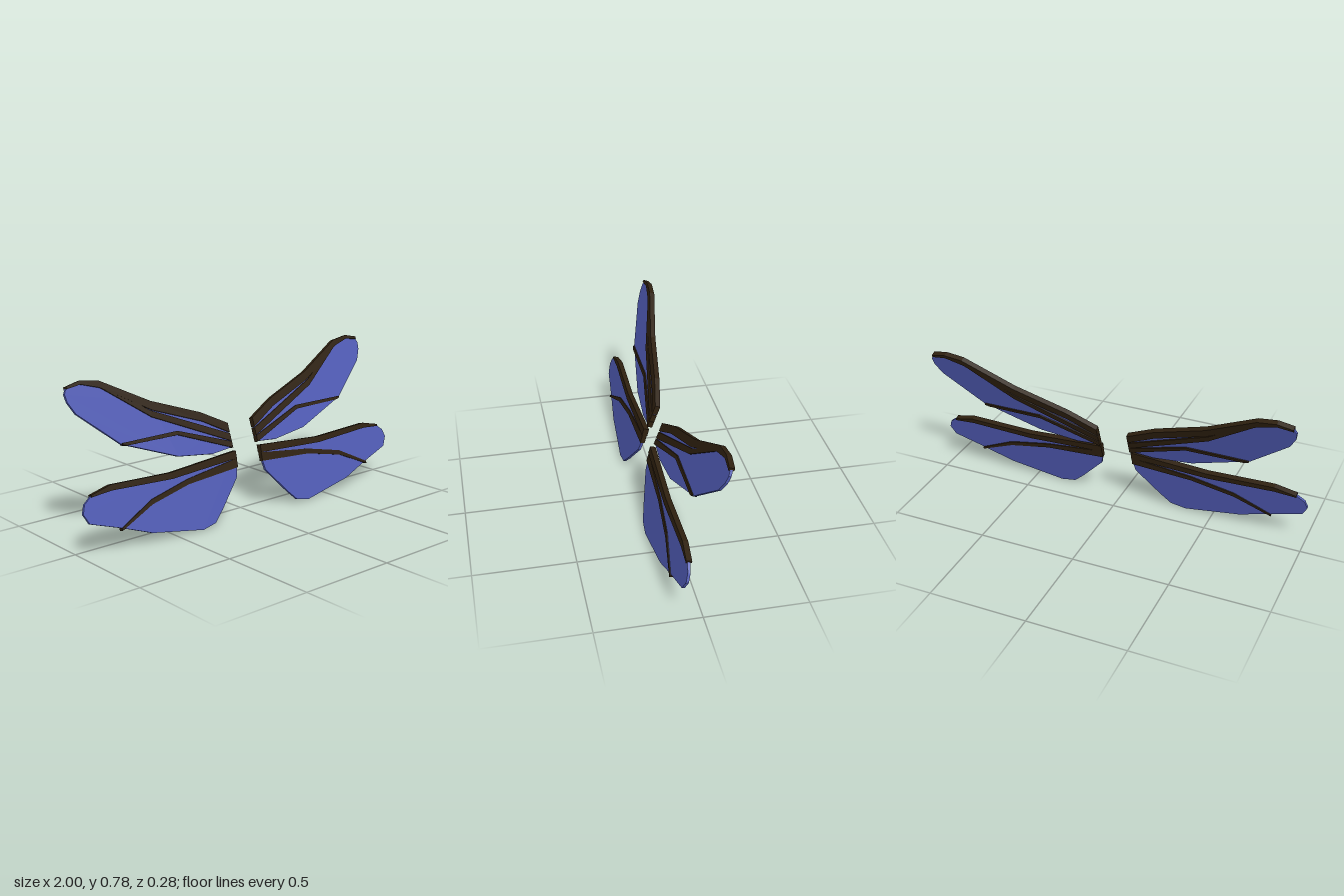
import * as THREE from 'three';

const membraneMat = new THREE.MeshStandardMaterial({ name: 'wing blue', color: 0x505bb5 });
const veinMat = new THREE.MeshStandardMaterial({ name: 'vein brown', color: 0x2e200f });

// Each wing is a flat sheet leaning back about a hinge line at height pivot.
// Outlines are [x, y]; veins are rows of [x, yTop, yBottom] from root to tip.
const WINGS = [
  {
    name: 'foreWing', tilt: 20, pivot: 0.42,
    outline: [[0.085, 0.455], [0.235, 0.53], [0.51, 0.625], [0.77, 0.757], [0.865, 0.768], [0.94, 0.752],
      [0.955, 0.725], [0.95, 0.69], [0.92, 0.635], [0.72, 0.47], [0.415, 0.36], [0.21, 0.335], [0.085, 0.345]],
    veins: [
      { name: 'leadingVein', depth: 0.027,
        rows: [[0.082, 0.46, 0.415], [0.235, 0.535, 0.493], [0.51, 0.63, 0.588], [0.77, 0.76, 0.728], [0.865, 0.773, 0.755], [0.942, 0.757, 0.745]] },
      { name: 'middleVein', depth: 0.026,
        rows: [[0.082, 0.41, 0.374], [0.52, 0.588, 0.558], [0.77, 0.748, 0.73]] },
      { name: 'trailingVein', depth: 0.026,
        rows: [[0.082, 0.372, 0.342], [0.395, 0.474, 0.455], [0.69, 0.473, 0.458], [0.715, 0.473, 0.465]] },
    ],
  },
  {
    name: 'hindWing', tilt: 15, pivot: 0.498,
    outline: [[0.085, 0.328], [0.49, 0.3], [0.835, 0.312], [0.94, 0.288], [0.985, 0.255], [1, 0.215], [0.975, 0.167],
      [0.8, 0.11], [0.65, 0.055], [0.355, 0.003], [0.275, 0.018], [0.22, 0.07], [0.095, 0.205], [0.085, 0.255]],
    veins: [
      { name: 'leadingVein', depth: 0.028,
        rows: [[0.082, 0.331, 0.293], [0.49, 0.303, 0.272], [0.835, 0.315, 0.288], [0.945, 0.29, 0.28]] },
      { name: 'trailingVein', depth: 0.023,
        rows: [[0.082, 0.293, 0.25], [0.4, 0.254, 0.229], [0.625, 0.205, 0.182], [0.815, 0.113, 0.101], [0.795, 0.104, 0.1]].slice(0, 4) },
    ],
  },
];

// Extrudes a flat outline to the given thickness, centred on its plane.
function plate(name, points, depth, material) {
  const shape = new THREE.Shape(points.map(([x, y]) => new THREE.Vector2(x, y)));
  const geometry = new THREE.ExtrudeGeometry(shape, { depth, bevelEnabled: false });
  geometry.translate(0, 0, -depth / 2);
  const mesh = new THREE.Mesh(geometry, material);
  mesh.name = name;
  return mesh;
}

function buildWing(spec, side) {
  const wing = new THREE.Group();
  wing.name = (side > 0 ? 'left ' : 'right ') + spec.name;
  const tilt = THREE.MathUtils.degToRad(spec.tilt);
  // Heights are stretched so they come out right after the lean.
  const place = ([x, y]) => [side * x, (y - spec.pivot) / Math.cos(tilt)];

  wing.add(plate('membrane', spec.outline.map(place), 0.013, membraneMat));
  for (const { name, depth, rows } of spec.veins) {
    const top = rows.map(([x, y]) => [x, y]);
    const bottom = rows.map(([x, , y]) => [x, y]).reverse();
    wing.add(plate(name, [...top, ...bottom].map(place), depth, veinMat));
  }
  wing.position.y = spec.pivot;
  wing.rotation.x = -tilt;
  return wing;
}

export function createModel() {
  const model = new THREE.Group();
  model.name = 'wings';
  for (const spec of WINGS) {
    for (const side of [1, -1]) model.add(buildWing(spec, side));
  }
  return model;
}
